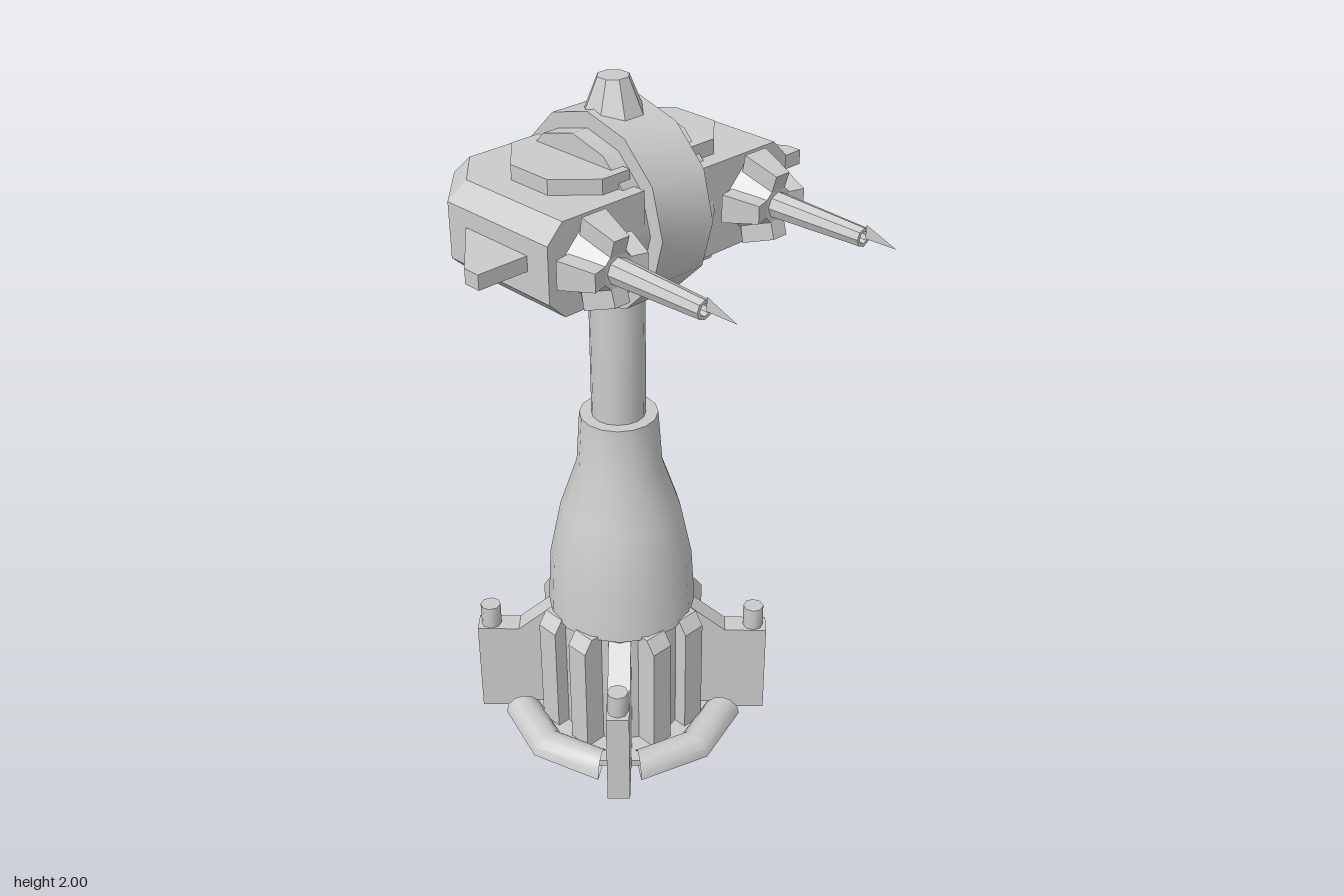
import * as THREE from 'three';
import { toCreasedNormals } from 'three/addons/utils/BufferGeometryUtils.js';
import { ConvexGeometry } from 'three/addons/geometries/ConvexGeometry.js';

const CZ = -0.158; // z of the tower axis
const HY = 1.667; // height of the head's centre
const GUN_X = 0.277;

const grey = new THREE.MeshStandardMaterial({ color: 0xcccccc });
const thin = new THREE.MeshStandardMaterial({ color: 0xcccccc, side: THREE.DoubleSide });

function add(parent, name, geometry, material = grey) {
  const mesh = new THREE.Mesh(geometry, material);
  mesh.name = name;
  parent.add(mesh);
  return mesh;
}

function subgroup(parent, name, x, y, z) {
  const g = new THREE.Group();
  g.name = name;
  g.position.set(x, y, z);
  parent.add(g);
  return g;
}

const hull = (points) => new ConvexGeometry(points.map((p) => new THREE.Vector3(...p)));

// Convex solid from [y, outline] layers; each outline is a list of [x, z]
const layered = (layers, s) => hull(layers.flatMap(([y, pts]) => pts.map(([x, z]) => [s * x, y, z])));

const turned = (points, sides) =>
  toCreasedNormals(new THREE.LatheGeometry(points.map((p) => new THREE.Vector2(...p)), sides), 0.5);

// Faceted wheel lying along x
const wheel = (radius, width) =>
  toCreasedNormals(new THREE.CylinderGeometry(radius, radius, width, 12).rotateZ(Math.PI / 2), 0.6);

// Half-round bar in two straight pieces, flat on the ground
function footRail() {
  const arc = THREE.MathUtils.degToRad(70);
  const g = new THREE.TorusGeometry(0.311, 0.054, 12, 2, arc);
  g.rotateZ(Math.PI / 2 - arc / 2).rotateX(Math.PI / 2);
  const p = g.attributes.position;
  for (let i = 0; i < p.count; i++) p.setY(i, Math.max(0, p.getY(i)));
  return toCreasedNormals(g, 0.6);
}

function buildBase(root) {
  const base = subgroup(root, 'base', 0, 0, CZ);
  add(base, 'floorPlate', new THREE.CylinderGeometry(0.31, 0.31, 0.02, 12)).position.y = 0.01;
  const core = new THREE.CylinderGeometry(0.205, 0.205, 0.41, 16);
  add(base, 'baseCore', toCreasedNormals(core, 0.5)).position.y = 0.205;

  // Side profile of a buttress: radius, height
  const profile = new THREE.Shape([[0.1, 0], [0.434, 0], [0.434, 0.3], [0.31, 0.3], [0.19, 0.4], [0.1, 0.4]]
    .map((p) => new THREE.Vector2(...p)));
  const buttress = new THREE.ExtrudeGeometry(profile, { depth: 0.065, bevelEnabled: false });
  buttress.translate(0, 0, -0.0325);

  for (let k = 0; k < 4; k++) {
    const side = subgroup(base, 'baseSide', 0, 0, 0);
    side.rotation.y = (k * Math.PI) / 2;
    add(side, 'footRail', footRail(), thin);
    for (const s of [-1, 1]) {
      const a = 0.03, b = 0.1;
      add(side, 'baseRib', layered([
        [0, [[a, 0.1], [b, 0.1], [a, 0.24], [b, 0.24]]],
        [0.37, [[a, 0.24], [b, 0.24]]],
        [0.41, [[a, 0.1], [b, 0.1], [a, 0.212], [b, 0.212]]],
      ], s));
    }
    const corner = subgroup(base, 'baseCorner', 0, 0, 0);
    corner.rotation.y = Math.PI / 4 + (k * Math.PI) / 2;
    add(corner, 'buttress', buttress);
    const knob = new THREE.CylinderGeometry(0.03, 0.03, 0.08, 8);
    add(corner, 'knob', toCreasedNormals(knob, 0.9)).position.set(0.395, 0.33, 0);
  }
}

function buildTower(root) {
  const tower = subgroup(root, 'tower', 0, 0, CZ);
  add(tower, 'taperedTower', turned([
    [0, 0.4], [0.217, 0.4], [0.207, 0.57], [0.172, 0.74], [0.121, 0.89], [0.11, 1.045], [0, 1.045],
  ], 16));
  const column = new THREE.CylinderGeometry(0.076, 0.076, 0.45, 16);
  add(tower, 'column', toCreasedNormals(column, 0.5)).position.y = 1.25;
}

function buildGun(head, s) {
  const gun = subgroup(head, 'gun', s * GUN_X, 1.67, 0);
  const socket = new THREE.CylinderGeometry(0.05, 0.09, 0.1, 8).rotateY(Math.PI / 8).rotateX(Math.PI / 2);
  add(gun, 'gunSocket', toCreasedNormals(socket, 0.5)).position.z = 0.1;
  for (let k = 0; k < 4; k++) {
    const claw = hull([-1, 1].flatMap((t) => [
      [t * 0.038, 0.02, 0.05], [t * 0.038, 0.12, 0.068],
      [t * 0.024, 0.04, 0.15], [t * 0.024, 0.085, 0.163],
    ]));
    add(gun, 'gunClaw', claw).rotation.z = (k * Math.PI) / 2;
  }
  // Hollow tapering barrel with a thin blade at the muzzle
  const barrel = turned([[0.037, 0.1], [0.025, 0.43], [0.016, 0.43], [0.016, 0.36], [0, 0.36]], 8);
  add(gun, 'barrel', barrel.rotateX(Math.PI / 2), thin);
  const blade = new THREE.BufferGeometry().setFromPoints([
    [0, 0, 0.53], [0, 0.035, 0.435], [0, -0.002, 0.435],
  ].map((p) => new THREE.Vector3(...p)));
  blade.computeVertexNormals();
  add(gun, 'muzzleBlade', blade, thin);
}

function buildHead(root) {
  const head = subgroup(root, 'head', 0, 0, 0);
  add(head, 'centralRing', wheel(0.262, 0.176)).position.set(0, HY, CZ);
  add(head, 'innerDrum', wheel(0.22, 0.276)).position.set(0, HY, CZ);
  const cap = new THREE.CylinderGeometry(0.042, 0.084, 0.1, 8).rotateY(Math.PI / 8);
  add(head, 'topCap', toCreasedNormals(cap, 0.4)).position.set(0, 1.95, CZ);

  const wide = [[0.1, 0.055], [0.1, -0.455], [0.28, -0.455], [0.41, -0.315], [0.41, 0.055]];
  const narrow = [[0.1, 0.055], [0.1, -0.41], [0.262, -0.41], [0.362, -0.297], [0.362, 0.055]];
  const plate = [[0.1, 0.005], [0.1, -0.33], [0.19, -0.33], [0.285, -0.22], [0.285, -0.085], [0.19, 0.005]];
  const fin = [[0.38, -0.02], [0.38, -0.285], [0.556, -0.07], [0.556, -0.02]];
  for (const s of [-1, 1]) {
    add(head, 'sidePod', layered([[1.545, narrow], [1.592, wide], [1.742, wide], [1.79, narrow]], s));
    add(head, 'raisedPlates', layered([[1.505, plate], [1.83, plate]], s));
    add(head, 'sideFin', layered([[1.655, fin], [1.695, fin]], s));
    buildGun(head, s);
  }
}

export function createModel() {
  const root = new THREE.Group();
  root.name = 'turret';
  buildBase(root);
  buildTower(root);
  buildHead(root);
  return root;
}
